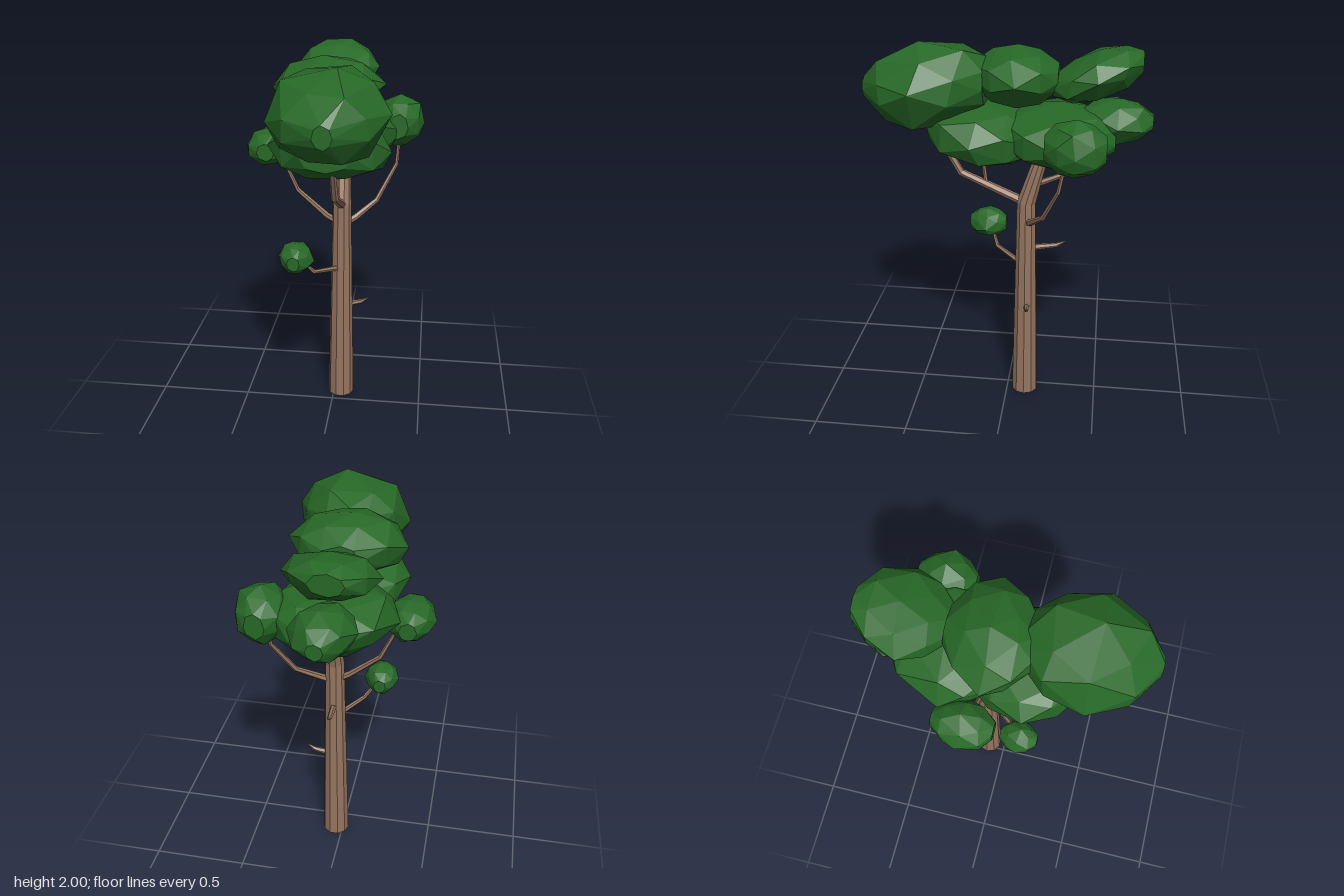
import * as THREE from 'three';
import { ConvexGeometry } from 'three/addons/geometries/ConvexGeometry.js';

const bark = new THREE.MeshStandardMaterial({ color: 0x967560, flatShading: true });
const leaf = new THREE.MeshStandardMaterial({ color: 0x276827, flatShading: true });

function seeded(seed) {
  let s = seed * 7919 + 13;
  return () => (s = (s * 16807) % 2147483647) / 2147483647;
}

// Tapered limb: path is a list of [x, y, z, radius]
function limb(name, path, sides) {
  const pts = path.map(p => new THREE.Vector3(p[0], p[1], p[2]));
  const last = pts.length - 1;
  const pos = [], idx = [];
  const u = new THREE.Vector3(1, 0, 0);
  pts.forEach((p, i) => {
    const t = new THREE.Vector3();
    if (i > 0) t.add(p.clone().sub(pts[i - 1]).normalize());
    if (i < last) t.add(pts[i + 1].clone().sub(p).normalize());
    t.normalize();
    u.addScaledVector(t, -u.dot(t)).normalize();
    const v = t.clone().cross(u);
    for (let j = 0; j < sides; j++) {
      const a = (j / sides) * Math.PI * 2, r = path[i][3];
      const q = p.clone().addScaledVector(u, Math.cos(a) * r).addScaledVector(v, Math.sin(a) * r);
      pos.push(q.x, q.y, q.z);
    }
  });
  for (let i = 0; i < last; i++) {
    for (let j = 0; j < sides; j++) {
      const a = i * sides + j, b = i * sides + (j + 1) % sides;
      idx.push(a, b, b + sides, a, b + sides, a + sides);
    }
  }
  // End cap
  for (let j = 1; j < sides - 1; j++) idx.push(last * sides, last * sides + j, last * sides + j + 1);
  const g = new THREE.BufferGeometry();
  g.setAttribute('position', new THREE.Float32BufferAttribute(pos, 3));
  g.setIndex(idx);
  g.computeVertexNormals();
  const mesh = new THREE.Mesh(g, bark);
  mesh.name = name;
  return mesh;
}

// Faceted leaf clump: hull of uneven rings along z around a centre, with half sizes.
// back and front set how blunt each end is; leanX and leanY shift the rings along z.
function clump(seed, name, [cx, cy, cz], [rx, ry, rz], back = 0.35, front = 0.35, leanX = 0, leanY = 0) {
  const rnd = seeded(seed), pts = [], count = 8;
  const shoulder = end => 0.6 + 0.5 * end;
  const rings = [[-1, back], [-0.6, shoulder(back)], [0, 1], [0.6, shoulder(front)], [1, front]];
  rings.forEach(([t, s], i) => {
    for (let j = 0; j < count; j++) {
      const a = ((j + (i % 2) / 2 + (rnd() - 0.5) * 0.4) / count) * Math.PI * 2;
      const r = 0.98 + rnd() * 0.08;
      const wobble = Math.abs(t) < 1 ? (rnd() - 0.5) * 0.2 : 0;
      pts.push(new THREE.Vector3(
        cx + leanX * t + rx * s * r * Math.cos(a),
        cy + leanY * t + ry * s ** 0.75 * r * Math.sin(a),
        cz + rz * (t + wobble)));
    }
  });
  const mesh = new THREE.Mesh(new ConvexGeometry(pts), leaf);
  mesh.name = name;
  return mesh;
}

export function createModel() {
  const tree = new THREE.Group();
  tree.name = 'tree';

  // Trunk, leaning back near the top
  tree.add(limb('trunk', [
    [0.04, 0, -0.1, 0.073], [0.04, 1.17, -0.1, 0.051], [0.04, 1.48, -0.19, 0.033],
  ], 10));

  // Underside of the trunk
  const base = new THREE.Mesh(new THREE.CircleGeometry(0.073, 10), leaf);
  base.name = 'trunkBase';
  base.rotation.x = Math.PI / 2;
  base.position.set(0.04, 0, -0.1);
  tree.add(base);

  // Branches carrying the crown
  const branches = [
    ['frontBranch', [[0.04, 1.17, -0.09, 0.025], [0.04, 1.32, 0.24, 0.02], [0.04, 1.62, 0.41, 0.013]]],
    ['frontTwig', [[0.04, 1.26, 0.11, 0.012], [0.04, 1.46, 0.13, 0.008]]],
    ['rightBranch', [[0.03, 1.06, -0.1, 0.019], [-0.04, 1.1, -0.1, 0.017],
      [-0.2, 1.235, -0.115, 0.013], [-0.29, 1.43, -0.12, 0.009]]],
    ['leftBranch', [[0.06, 1.06, -0.11, 0.02], [0.11, 1.085, -0.13, 0.018], [0.22, 1.165, -0.2, 0.014],
      [0.32, 1.35, -0.28, 0.011], [0.33, 1.5, -0.31, 0.008]]],
    ['backBranch', [[0.04, 1.26, -0.12, 0.018], [0.04, 1.345, -0.32, 0.014], [0.04, 1.46, -0.41, 0.009]]],
    ['lowBranch', [[0.03, 0.805, -0.07, 0.015], [-0.09, 0.838, 0.07, 0.012], [-0.14, 0.9, 0.1, 0.008]]],
    ['leftStub', [[0.07, 0.565, -0.11, 0.017], [0.15, 0.582, -0.115, 0.013], [0.19, 0.607, -0.115, 0.003]]],
    ['backStub', [[0.04, 0.905, -0.12, 0.018], [0.035, 0.925, -0.26, 0.013], [0.035, 0.95, -0.31, 0.003]]],
  ];
  branches.forEach(([name, path]) => tree.add(limb(name, path, 6)));

  // Crown: centre, half sizes, end bluntness, lean
  const clumps = [
    ['frontTopLeaves', [0.03, 1.777, 0.415], [0.29, 0.22, 0.305], 0.45, 0.15, 0.01, -0.02],
    ['middleTopLeaves', [-0.025, 1.822, -0.045], [0.28, 0.147, 0.205], 0.35, 0.4, -0.01],
    ['backTopLeaves', [-0.02, 1.845, -0.44], [0.225, 0.115, 0.215], 0.35, 0.35, 0.02, -0.06],
    ['backLeaves', [0, 1.615, -0.55], [0.158, 0.115, 0.17], 0.25, 0.45],
    ['frontLowerLeaves', [0.005, 1.545, 0.135], [0.31, 0.16, 0.255], 0.5, 0.4, 0, 0.03],
    ['backLowerLeaves', [0.02, 1.545, -0.27], [0.33, 0.155, 0.27], 0.35, 0.5, -0.02],
    ['leftLeaves', [0.33, 1.575, -0.355], [0.135, 0.142, 0.145]],
    ['rightLeaves', [-0.345, 1.48, -0.11], [0.127, 0.1, 0.15]],
    ['lowLeaves', [-0.177, 0.945, 0.13], [0.094, 0.085, 0.1]],
  ];
  clumps.forEach((c, i) => tree.add(clump(i * 3 + 2, ...c)));

  return tree;
}
